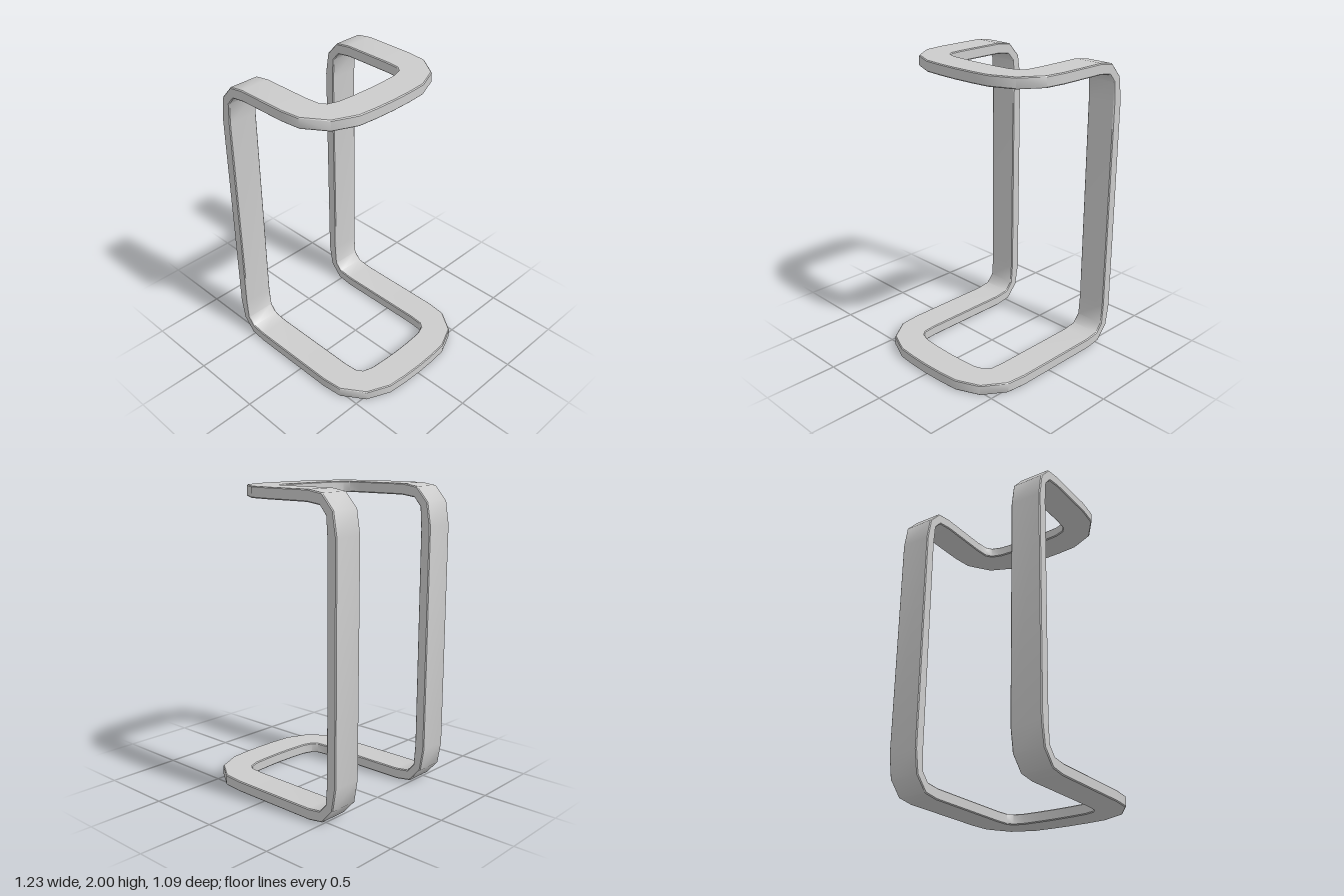
import * as THREE from 'three';
import { toCreasedNormals } from 'three/addons/utils/BufferGeometryUtils.js';

const Z_OUT = 0.545, Z_IN = 0.335, T = 0.072, BEVEL = 0.006, REACH = 0.297;

// Rounded end of the top loop, from its middle back to the straight arm: outer x, z, inner x, z
const NOSE = [
  [0.315, 0, 0.105, 0],
  [0.311, 0.14, 0.102, 0.12],
  [0.3, 0.27, 0.094, 0.235],
  [0.23, 0.427, 0.072, 0.3],
  [0.08, 0.53, 0.036, 0.327],
  [-0.06, Z_OUT, -0.055, Z_IN],
];
// Bend from the arm down into the upright: outer x, y, inner x, y
const BEND = [
  [-0.4, 2, -0.39, 2 - T],
  [-0.505, 1.984, -0.488, 1.915],
  [-0.59, 1.89, -0.535, 1.86],
  [-0.615, 1.74, -0.545, 1.72],
];

// Four corners of the bar: outer face at outer z, outer face at inner z, then the inner face
const noseSection = ([xo, zo, xi, zi], dx, yOut, yIn) => [
  new THREE.Vector3(xo + dx, yOut, zo), new THREE.Vector3(xi + dx, yOut, zi),
  new THREE.Vector3(xi + dx, yIn, zi), new THREE.Vector3(xo + dx, yIn, zo),
];
const bendSection = ([xo, yo, xi, yi]) => [
  new THREE.Vector3(xo, yo, Z_OUT), new THREE.Vector3(xo, yo, Z_IN),
  new THREE.Vector3(xi, yi, Z_IN), new THREE.Vector3(xi, yi, Z_OUT),
];

// Small chamfer on each corner of a section
function chamfer(section) {
  const ring = [];
  section.forEach((p, i) => {
    for (const q of [section[(i + 3) % 4], section[(i + 1) % 4]]) {
      ring.push(p.clone().lerp(q, BEVEL / p.distanceTo(q)));
    }
  });
  return ring;
}

// Skin a closed loop of equal rings
function closedLoop(rings) {
  const n = rings[0].length, index = [];
  rings.forEach((_, i) => {
    const a = i * n, b = ((i + 1) % rings.length) * n;
    for (let j = 0; j < n; j++) {
      const k = (j + 1) % n;
      index.push(a + j, a + k, b + k, a + j, b + k, b + j);
    }
  });
  const geometry = new THREE.BufferGeometry().setFromPoints(rings.flat());
  geometry.setIndex(index);
  return toCreasedNormals(geometry, 0.75);
}

export function createModel() {
  // One side: top loop, upper bend, lower bend, longer bottom loop
  const half = [
    ...NOSE.map((p) => noseSection(p, 0, 2, 2 - T)),
    ...BEND.map(bendSection),
    ...BEND.map(([xo, yo, xi, yi]) => bendSection([xo, 2 - yo, xi, 2 - yi])).reverse(),
    ...NOSE.map((p) => noseSection(p, REACH, 0, T)).reverse(),
  ];
  // Other side: mirrored, running back up to the start
  const mirrored = half.slice(1, -1).reverse()
    .map((s) => s.map((p) => new THREE.Vector3(p.x, p.y, -p.z)));

  const frame = new THREE.Mesh(
    closedLoop([...half, ...mirrored].map(chamfer)),
    new THREE.MeshStandardMaterial({ color: 0xcccccc }),
  );
  frame.name = 'bentFrame';

  const group = new THREE.Group();
  group.name = 'cantileverFrame';
  group.add(frame);
  return group;
}
